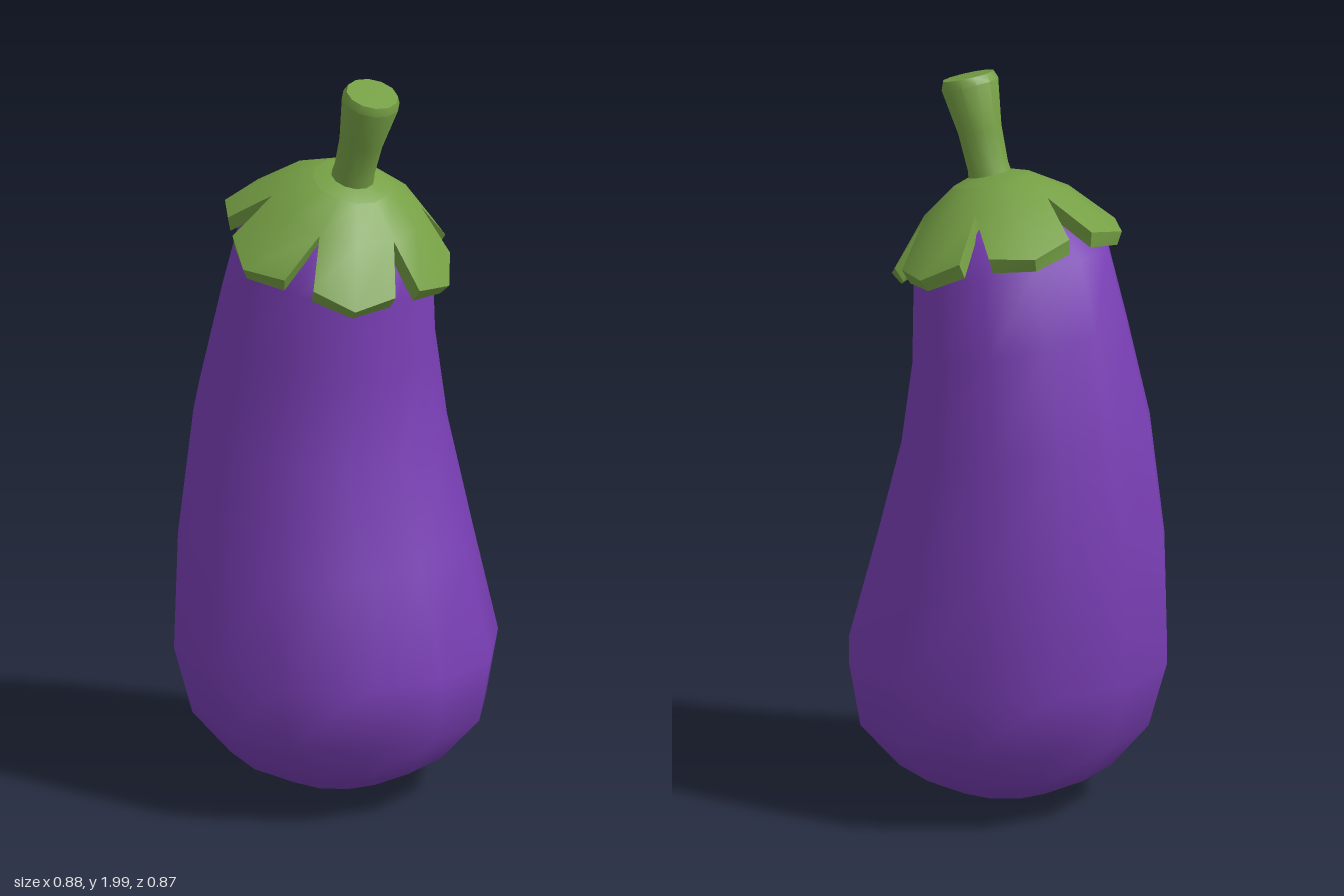
import * as THREE from 'three';
import { mergeVertices, toCreasedNormals } from 'three/addons/utils/BufferGeometryUtils.js';

const SIDES = 12;
const TILT = 0.305; // lean of the calyx and stem towards +x

// Collects quads as plain triangles
function quadBuilder() {
  const pos = [];
  return {
    quad(a, b, c, d) {
      for (const p of [a, b, c, a, c, d]) pos.push(...p);
    },
    geometry() {
      const g = new THREE.BufferGeometry();
      g.setAttribute('position', new THREE.Float32BufferAttribute(pos, 3));
      return g;
    },
  };
}

// Bent fruit: tilted rings given as [centre x, centre y, radius, tilt]
function bodyGeometry() {
  const rings = [
    [0.01, 0.002, 0, 0], [0.01, 0.03, 0.15, 0], [0.01, 0.1, 0.29, 0],
    [0.013, 0.22, 0.395, 0], [0, 0.4, 0.436, 0], [-0.045, 0.7, 0.396, 0.05],
    [-0.065, 1.02, 0.343, 0.17], [-0.043, 1.28, 0.298, 0.27], [-0.01, 1.485, 0.27, 0.27],
    [0.03, 1.595, 0.205, TILT], [0.05, 1.66, 0.1, TILT], [0.058, 1.686, 0, TILT],
  ];
  const point = ([x, y, r, t], i) => {
    const a = ((i % SIDES) / SIDES) * Math.PI * 2;
    const u = r * Math.cos(a);
    return [x + u * Math.cos(t), y - u * Math.sin(t), r * Math.sin(a)];
  };
  const b = quadBuilder();
  for (let k = 0; k < rings.length - 1; k++) {
    const lo = rings[k], up = rings[k + 1];
    for (let i = 0; i < SIDES; i++) {
      b.quad(point(up, i), point(up, i + 1), point(lo, i + 1), point(lo, i));
    }
  }
  const g = mergeVertices(b.geometry());
  g.computeVertexNormals();
  return g;
}

// Thick dome with six lobes parted by notches; sections are [radius, height]
function calyxGeometry() {
  const outer = { top: [0, 0.236], ring: [0.105, 0.214], base: [0.203, 0.15], corner: [0.3, 0.04], tip: [0.325, 0.015] };
  const inner = { top: [0, 0.2], ring: [0.09, 0.178], base: [0.18, 0.115], corner: [0.285, 0], tip: [0.305, -0.018] };
  const b = quadBuilder();
  for (let lobe = 0; lobe < 6; lobe++) {
    const at = ([r, h], deg) => {
      const a = ((lobe * 60 + 30 + deg) * Math.PI) / 180;
      return [r * Math.cos(a), h, r * Math.sin(a)];
    };
    const shell = (s) => ({
      top: at(s.top, 0),
      ring: [-30, 0, 30].map((d) => at(s.ring, d)),
      base: [-30, 0, 30].map((d) => at(s.base, d)),
      edge: [at(s.corner, -22), at(s.tip, 0), at(s.corner, 22)],
    });
    const o = shell(outer), n = shell(inner);
    for (let i = 0; i < 2; i++) {
      const j = i + 1;
      // Upper skin
      b.quad(o.top, o.ring[j], o.ring[i], o.top);
      b.quad(o.ring[i], o.ring[j], o.base[j], o.base[i]);
      b.quad(o.base[i], o.base[j], o.edge[j], o.edge[i]);
      // Underside
      b.quad(n.base[i], n.base[j], n.ring[j], n.ring[i]);
      b.quad(n.edge[i], n.edge[j], n.base[j], n.base[i]);
      // Rim
      b.quad(o.edge[i], o.edge[j], n.edge[j], n.edge[i]);
    }
    // Notch walls
    b.quad(o.base[0], o.edge[0], n.edge[0], n.base[0]);
    b.quad(o.edge[2], o.base[2], n.base[2], n.edge[2]);
  }
  return b.geometry();
}

// Closes the dome crown with a low cone of smooth facets
function crownGeometry() {
  const profile = [[0.105, 0.214], [0.055, 0.231], [0, 0.236]];
  return new THREE.LatheGeometry(profile.map(([x, y]) => new THREE.Vector2(x, y)), SIDES, Math.PI / 2);
}

export function createModel() {
  const purple = new THREE.MeshStandardMaterial({ color: 0x7a3fb6 });
  purple.name = 'purple skin';
  const green = new THREE.MeshStandardMaterial({ color: 0x76a045 });
  green.name = 'leaf green';

  const model = new THREE.Group();
  model.name = 'eggplant';
  const add = (parent, name, geometry, material) => {
    const mesh = new THREE.Mesh(geometry, material);
    mesh.name = name;
    parent.add(mesh);
    return mesh;
  };

  add(model, 'body', bodyGeometry(), purple);

  // Calyx and stem share one leaning axis
  const top = new THREE.Group();
  top.name = 'leafyTop';
  top.position.y = 1.5;
  top.rotation.z = -TILT;
  model.add(top);

  add(top, 'calyx', toCreasedNormals(calyxGeometry(), 0.7), green);
  add(top, 'calyxCrown', crownGeometry(), green);

  // Stem flares at the foot and widens to a bevelled cut end
  const stemProfile = [[0.064, 0.19], [0.056, 0.25], [0.06, 0.35], [0.079, 0.475], [0.07, 0.497], [0, 0.5]];
  const stem = new THREE.LatheGeometry(stemProfile.map(([x, y]) => new THREE.Vector2(x, y)), SIDES);
  add(top, 'stem', toCreasedNormals(stem, 0.6), green);

  return model;
}
